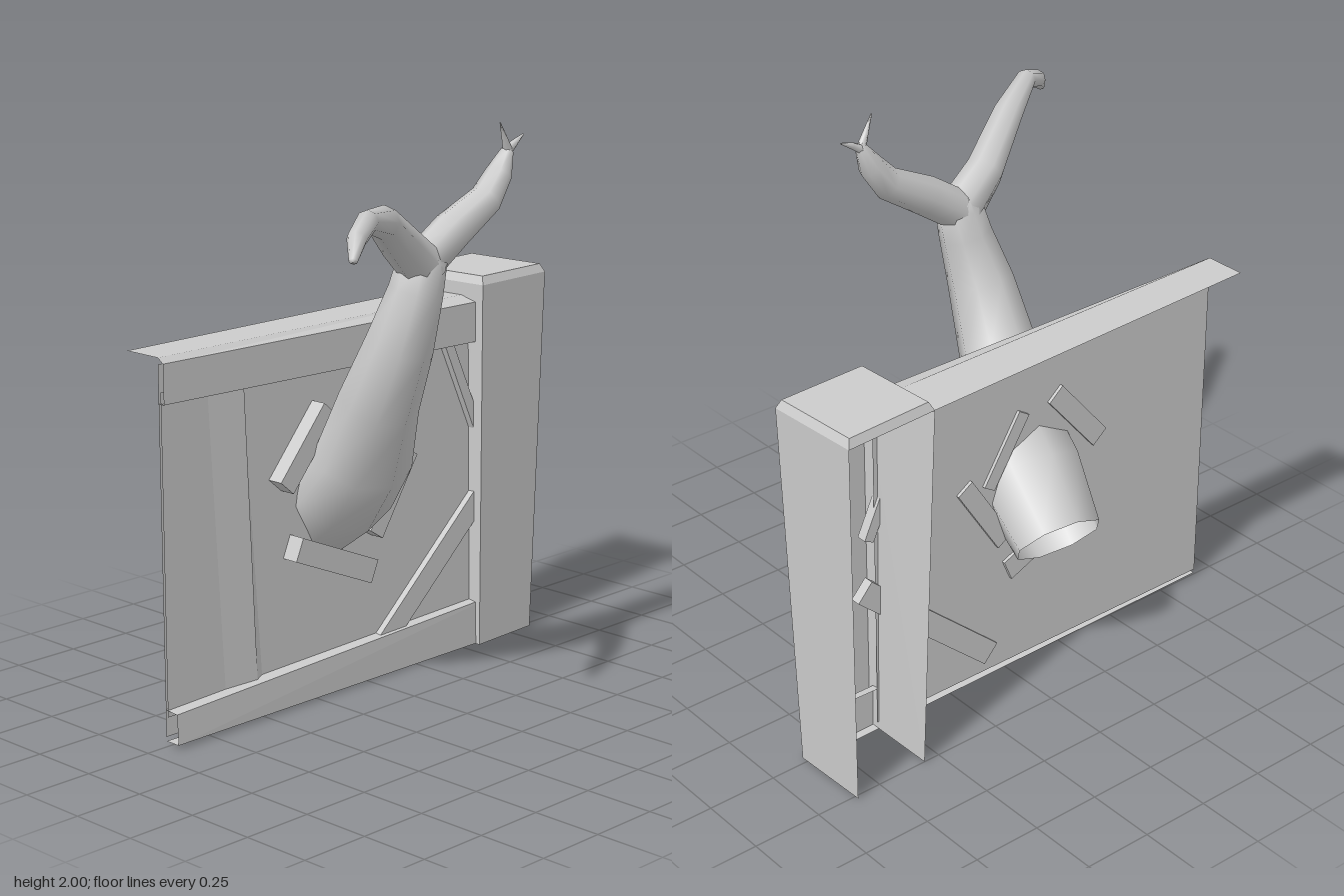
import * as THREE from 'three';

const V = (x, y, z) => new THREE.Vector3(x, y, z);
const grey = new THREE.MeshStandardMaterial({ color: 0xcccccc, side: THREE.DoubleSide });

// Skin between cross-sections; closed wraps each one, skip leaves one side open.
function loft(rings, { closed = false, smooth = false, skip = -1 } = {}) {
  const n = rings[0].length, index = [];
  const sides = closed ? n : n - 1;
  for (let i = 0; i < rings.length - 1; i++) {
    for (let j = 0; j < sides; j++) {
      if (j === skip) continue;
      const a = i * n + j, b = i * n + (j + 1) % n;
      index.push(a, b, b + n, a, b + n, a + n);
    }
  }
  let geo = new THREE.BufferGeometry().setFromPoints(rings.flat());
  geo.setIndex(index);
  if (!smooth) geo = geo.toNonIndexed();
  geo.computeVertexNormals();
  return geo;
}

// Tapering limb through [x, y, z, radius, optional depth radius].
function limb(stations, ref, sides) {
  const pts = stations.map(([x, y, z]) => V(x, y, z));
  const rings = stations.map(([, , , r, r2 = r], i) => {
    const t = pts[Math.min(i + 1, pts.length - 1)].clone().sub(pts[Math.max(i - 1, 0)]).normalize();
    const u = ref.clone().addScaledVector(t, -ref.dot(t)).normalize();
    const v = t.clone().cross(u);
    return Array.from({ length: sides }, (_, j) => {
      const a = (j / sides) * Math.PI * 2;
      return pts[i].clone().addScaledVector(u, r * Math.cos(a)).addScaledVector(v, r2 * Math.sin(a));
    });
  });
  return loft(rings, { closed: true, smooth: true });
}

export function createModel() {
  const model = new THREE.Group();
  const add = (name, geo, parent = model) => {
    const mesh = new THREE.Mesh(geo, grey);
    mesh.name = name;
    parent.add(mesh);
    return mesh;
  };

  // Wall sheet with the hole the trunk grows through
  const wall = new THREE.Shape([[-0.91, 0.03], [0.57, 0.03], [0.57, 1.29], [-0.91, 1.29]]
    .map(([x, y]) => new THREE.Vector2(x, y)));
  const hole = new THREE.Path();
  hole.absellipse(-0.13, 0.73, 0.15, 0.19, 0, Math.PI * 2, true);
  wall.holes.push(hole);
  add('wallPanel', new THREE.ShapeGeometry(wall, 4).translate(0, 0, -0.26));

  // Slightly raised boards at the open end: [x at bottom, x at top, z]
  const boards = [[-0.91, -0.91, -0.25], [-0.65, -0.71, -0.252], [-0.515, -0.56, -0.24], [-0.475, -0.55, -0.26]];
  add('raisedBoards', loft([
    boards.map(([xb, , z]) => V(xb, 0.1, z)),
    boards.map(([, xt, z]) => V(xt, 1.2, z)),
  ]));

  // Rails are open folded sheets between an end profile and a profile at the post
  const rail = (name, x0, left, x1, right) => add(name, loft([
    left.map(([y, z]) => V(x0, y, z)),
    right.map(([y, z]) => V(x1, y, z)),
  ]));
  rail('topRail',
    -0.91, [[1.16, -0.26], [1.16, -0.235], [1.295, -0.235], [1.312, -0.26], [1.312, -0.41]],
    0.57, [[1.14, -0.26], [1.14, -0.225], [1.285, -0.225], [1.303, -0.29], [1.303, -0.47]]);
  rail('bottomRail',
    -0.91, [[0.015, -0.26], [0.015, -0.2], [0.12, -0.205], [0.125, -0.26]],
    0.7, [[0.0, -0.26], [0.0, -0.23], [0.165, -0.23], [0.17, -0.26]]);

  // Tapered post, open at the back and below
  const post = new THREE.Group();
  post.name = 'post';
  model.add(post);
  const base = [V(0.565, 0, -0.21), V(0.86, 0, -0.225), V(0.85, 0, -0.515), V(0.56, 0, -0.5)];
  const shoulder = [V(0.55, 1.35, -0.19), V(0.902, 1.35, -0.205), V(0.883, 1.35, -0.553), V(0.532, 1.35, -0.53)];
  const centre = V(0.717, 1.35, -0.37);
  const cap = shoulder.map(p => p.clone().lerp(centre, 0.08).setY(1.38));
  add('postSides', loft([base, shoulder], { closed: true, skip: 2 }), post);
  add('postBevel', loft([shoulder, cap], { closed: true }), post);
  add('postTop', loft([[cap[0], cap[1]], [cap[3], cap[2]]]), post);

  // Flat planks laid from one point to another on the wall
  const plank = (name, [x0, y0], [x1, y1], width, front) => {
    const back = -0.272;
    const mesh = add(name, new THREE.BoxGeometry(Math.hypot(x1 - x0, y1 - y0), width, front - back));
    mesh.position.set((x0 + x1) / 2, (y0 + y1) / 2, (front + back) / 2);
    mesh.rotation.z = Math.atan2(y1 - y0, x1 - x0);
  };
  plank('lowerPatchPlank', [-0.355, 0.565], [0.005, 0.41], 0.085, -0.195);
  plank('rightPatchPlank', [0.02, 0.54], [0.195, 0.81], 0.07, -0.2);
  plank('leftPatchPlank', [-0.405, 0.79], [-0.2, 1.03], 0.075, -0.2);
  plank('upperPatchPlank', [-0.06, 1.01], [0.09, 0.77], 0.05, -0.215);
  plank('lowerBrace', [0.08, 0.1], [0.62, 0.58], 0.085, -0.235);
  plank('upperBrace', [0.415, 1.17], [0.6, 0.77], 0.04, -0.235);

  // Trunk bending out of the wall and forking
  const tree = new THREE.Group();
  tree.name = 'tree';
  model.add(tree);
  add('trunk', limb([
    [-0.09, 0.57, -0.42, 0.16, 0.15],
    [-0.125, 0.73, -0.22, 0.195, 0.175],
    [-0.14, 0.87, -0.1, 0.18, 0.155],
    [-0.19, 1.09, 0.02, 0.137, 0.137],
    [-0.2, 1.3, 0.125, 0.115, 0.115],
    [-0.165, 1.48, 0.165, 0.092, 0.092],
    [-0.145, 1.58, 0.175, 0.085, 0.08],
    [-0.145, 1.63, 0.175, 0.03, 0.05],
  ], V(1, 0, 0), 8), tree);
  add('longBranch', limb([
    [-0.13, 1.55, 0.17, 0.08], [-0.28, 1.66, 0.205, 0.068], [-0.48, 1.765, 0.325, 0.055],
    [-0.68, 1.807, 0.455, 0.036], [-0.77, 1.77, 0.5, 0.032], [-0.825, 1.715, 0.54, 0.014], [-0.828, 1.712, 0.542, 0.001],
  ], V(0, 1, 0), 8), tree);
  add('shortBranch', limb([
    [-0.17, 1.55, 0.17, 0.07], [0.0, 1.665, 0.175, 0.068], [0.15, 1.75, 0.185, 0.056],
    [0.215, 1.83, 0.185, 0.045], [0.25, 1.9, 0.188, 0.022], [0.255, 1.92, 0.188, 0.006],
  ], V(0, 0, 1), 8), tree);
  add('upperTwig', limb([
    [0.252, 1.895, 0.19, 0.018], [0.228, 1.94, 0.197, 0.011], [0.192, 2.0, 0.208, 0.002],
  ], V(0, 0, 1), 6), tree);
  add('outerTwig', limb([
    [0.245, 1.895, 0.188, 0.018], [0.29, 1.922, 0.185, 0.012], [0.338, 1.945, 0.18, 0.003],
  ], V(0, 0, 1), 6), tree);

  return model;
}
